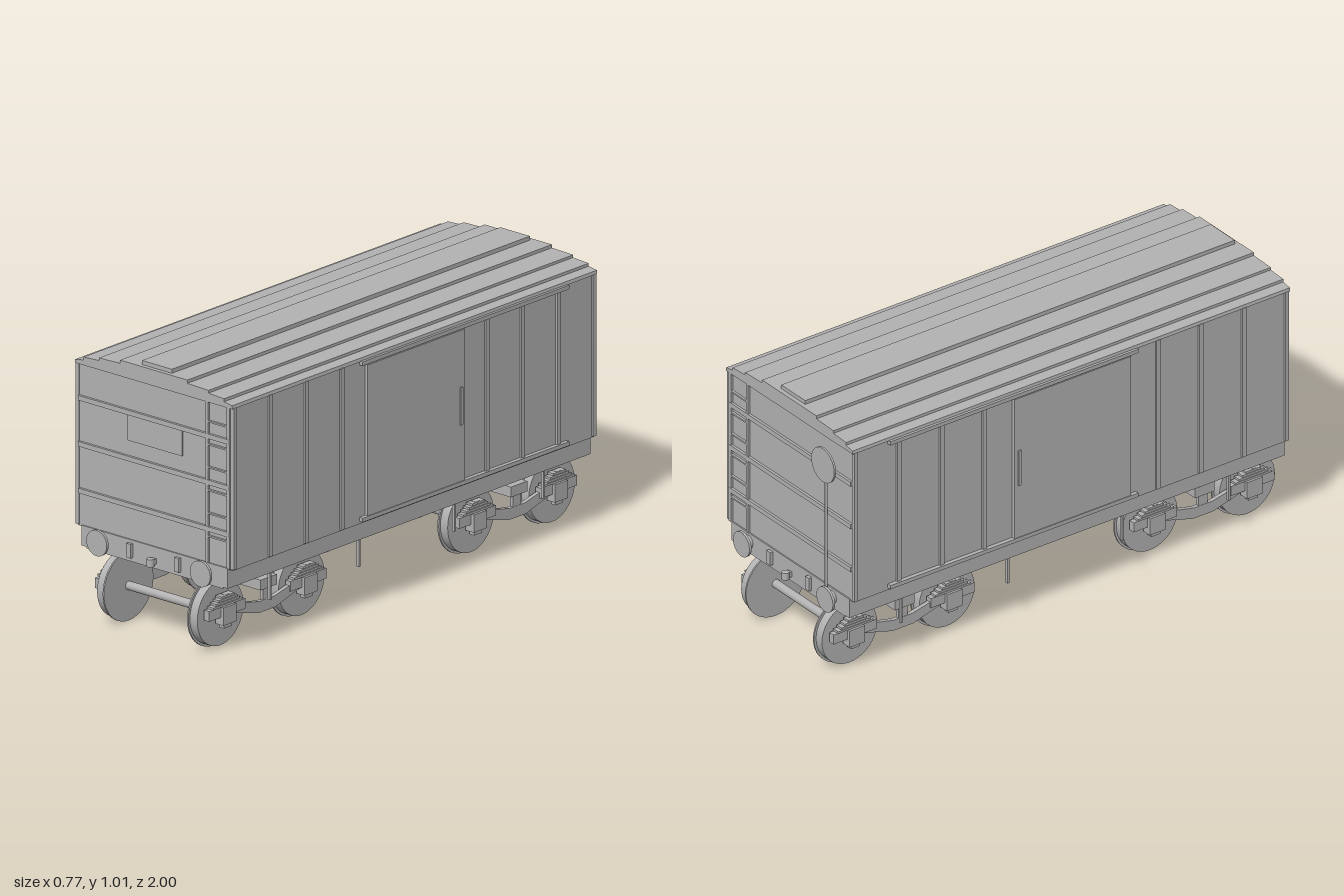
import * as THREE from 'three';

export function createModel() {
  const model = new THREE.Group();
  const grey = new THREE.MeshStandardMaterial({ color: 0xb2b2b2 });
  grey.name = 'plain grey';

  const add = (name, geometry, x = 0, y = 0, z = 0, parent = model) => {
    const mesh = new THREE.Mesh(geometry, grey);
    mesh.name = name;
    mesh.position.set(x, y, z);
    parent.add(mesh);
    return mesh;
  };
  // box given by its limits on each axis
  const box = (name, x0, x1, y0, y1, z0, z1, parent = model) =>
    add(name, new THREE.BoxGeometry(Math.abs(x1 - x0), y1 - y0, Math.abs(z1 - z0)),
      (x0 + x1) / 2, (y0 + y1) / 2, (z0 + z1) / 2, parent);
  const rodX = (name, r, length, x, y, z, parent = model, sides = 40) =>
    add(name, new THREE.CylinderGeometry(r, r, length, sides).rotateZ(Math.PI / 2), x, y, z, parent);
  const rodZ = (name, r, length, x, y, z, parent = model, sides = 32) =>
    add(name, new THREE.CylinderGeometry(r, r, length, sides).rotateX(Math.PI / 2), x, y, z, parent);
  const extrude = (points, depth) => {
    const shape = new THREE.Shape(points.map(([a, b]) => new THREE.Vector2(a, b)));
    return new THREE.ExtrudeGeometry(shape, { depth, bevelEnabled: false }).translate(0, 0, -depth / 2);
  };
  const sides = [-1, 1];

  // body shell and stepped, gently sloping roof
  box('body', -0.364, 0.364, 0.335, 0.94, -0.947, 0.947);
  const half = [[0.37, 0.938], [0.368, 0.951], [0.33, 0.957], [0.33, 0.968], [0.257, 0.972],
    [0.257, 0.982], [0.158, 0.985], [0.158, 0.997]];
  const mirrored = half.map(([x, y]) => [-x, y]).reverse();
  add('roof', extrude([...half, ...mirrored], 1.914));
  box('roofWalkway', -0.07, 0.07, 0.995, 1.012, -0.94, 0.94);

  // side walls: ribs, sliding doors, rails and handles
  for (const s of sides) {
    for (const z of [-0.755, -0.567, -0.38, 0.38, 0.567, 0.755])
      box('sideRib', s * 0.362, s * 0.372, 0.34, 0.94, z - 0.009, z + 0.009);
    for (const e of sides)
      box('cornerPost', s * 0.356, s * 0.371, 0.34, 0.94, e * 0.935, e * 0.951);
    box('slidingDoor', s * 0.362, s * 0.377, 0.352, 0.92, -0.255, 0.255);
    box('doorTopRail', s * 0.362, s * 0.38, 0.925, 0.94, -0.8, 0.285);
    box('doorBottomRail', s * 0.362, s * 0.38, 0.345, 0.36, -0.8, 0.285);
    box('doorHandle', s * 0.375, s * 0.383, 0.57, 0.71, -0.24, -0.228);
  }

  // end walls: ribs, ladder, buffers and coupler
  for (const e of sides) {
    for (const y of [0.467, 0.64, 0.811])
      box('endRib', -0.356, 0.354, y - 0.009, y + 0.009, e * 0.945, e * 0.957);
    for (const x of [0.248, 0.348])
      box('ladderRail', x - 0.006, x + 0.006, 0.34, 0.94, e * 0.945, e * 0.956);
    for (let i = 0; i < 6; i++) {
      const y = 0.44 + i * 0.0852;
      box('ladderRung', 0.25, 0.346, y - 0.003, y + 0.003, e * 0.945, e * 0.956);
    }
    for (const s of sides) {
      rodZ('bufferShank', 0.025, 0.04, s * 0.243, 0.305, e * 0.958);
      rodZ('bufferHead', 0.048, 0.01, s * 0.243, 0.305, e * 0.98);
      box('headstockBracket', s * 0.102, s * 0.124, 0.276, 0.328, e * 0.945, e * 0.964);
    }
    box('couplerShank', -0.008, 0.008, 0.278, 0.298, e * 0.94, e * 0.975);
    add('couplerHead', new THREE.CylinderGeometry(0.014, 0.014, 0.028, 16), 0, 0.288, e * 0.974);
    box('headstock', -0.32, 0.32, 0.26, 0.34, e * 0.925, e * 0.952);
  }
  box('endPlacard', -0.128, 0.128, 0.706, 0.802, 0.946, 0.952);

  // hand brake on the back end
  add('brakeStaff', new THREE.CylinderGeometry(0.005, 0.005, 0.57, 10), -0.225, 0.555, -0.965);
  rodZ('brakeWheel', 0.067, 0.008, -0.225, 0.837, -0.976);

  // underframe
  for (const s of sides) {
    box('sideSill', s * 0.316, s * 0.343, 0.265, 0.34, -0.952, 0.952);
    box('centreSill', s * 0.102, s * 0.124, 0.276, 0.34, -0.94, 0.94);
    for (const z of [-0.717, -0.25, 0.25, 0.717])
      box('hangingPost', s * 0.324, s * 0.335, 0.16, 0.28, z - 0.004, z + 0.004);
  }
  for (const z of [-0.657, -0.4, -0.13, 0.13, 0.4, 0.657])
    box('crossMember', -0.32, 0.32, 0.276, 0.335, z - 0.011, z + 0.011);

  // brake cylinder with end flanges
  rodZ('brakeTank', 0.044, 0.5, 0.155, 0.219, 0);
  for (const e of sides) rodZ('tankFlange', 0.048, 0.012, 0.155, 0.219, e * 0.247);

  // two four-wheel bogies
  const archBar = [[-0.18, 0.163], [-0.04, 0.132], [0.04, 0.132], [0.18, 0.163],
    [0.18, 0.128], [0.045, 0.09], [-0.045, 0.09], [-0.18, 0.128]];
  for (const e of sides) {
    const bogie = new THREE.Group();
    bogie.name = 'bogie';
    bogie.position.z = e * 0.657;
    model.add(bogie);
    box('bolster', -0.272, 0.272, 0.176, 0.214, -0.043, 0.043, bogie);
    for (const s of sides) {
      add('archBar', extrude(archBar, 0.016).rotateY(Math.PI / 2), s * 0.255, 0, 0, bogie);
      box('bolsterHanger', s * 0.248, s * 0.262, 0.11, 0.18, -0.02, 0.02, bogie);
    }
    for (const a of [-0.213, 0.213]) {
      rodX('axle', 0.016, 0.46, 0, 0.13, a, bogie, 20);
      for (const s of sides) {
        rodX('wheelTread', 0.121, 0.036, s * 0.217, 0.13, a, bogie);
        rodX('wheelFlange', 0.13, 0.006, s * 0.198, 0.13, a, bogie);
        box('axleBoxBeam', s * 0.244, s * 0.268, 0.128, 0.166, a - 0.095, a + 0.095, bogie);
        box('axleBox', s * 0.242, s * 0.28, 0.1, 0.166, a - 0.034, a + 0.034, bogie);
        box('axleBoxCap', s * 0.248, s * 0.27, 0.084, 0.102, a - 0.02, a + 0.02, bogie);
        // leaf spring, shorter towards the top
        for (let i = 0; i < 4; i++)
          box('springLeaf', s * 0.243, s * 0.272, 0.167 + i * 0.01, 0.175 + i * 0.01,
            a - 0.078 + i * 0.015, a + 0.078 - i * 0.015, bogie);
        box('springBuckle', s * 0.246, s * 0.268, 0.16, 0.206, a - 0.012, a + 0.012, bogie);
      }
    }
  }
  return model;
}
